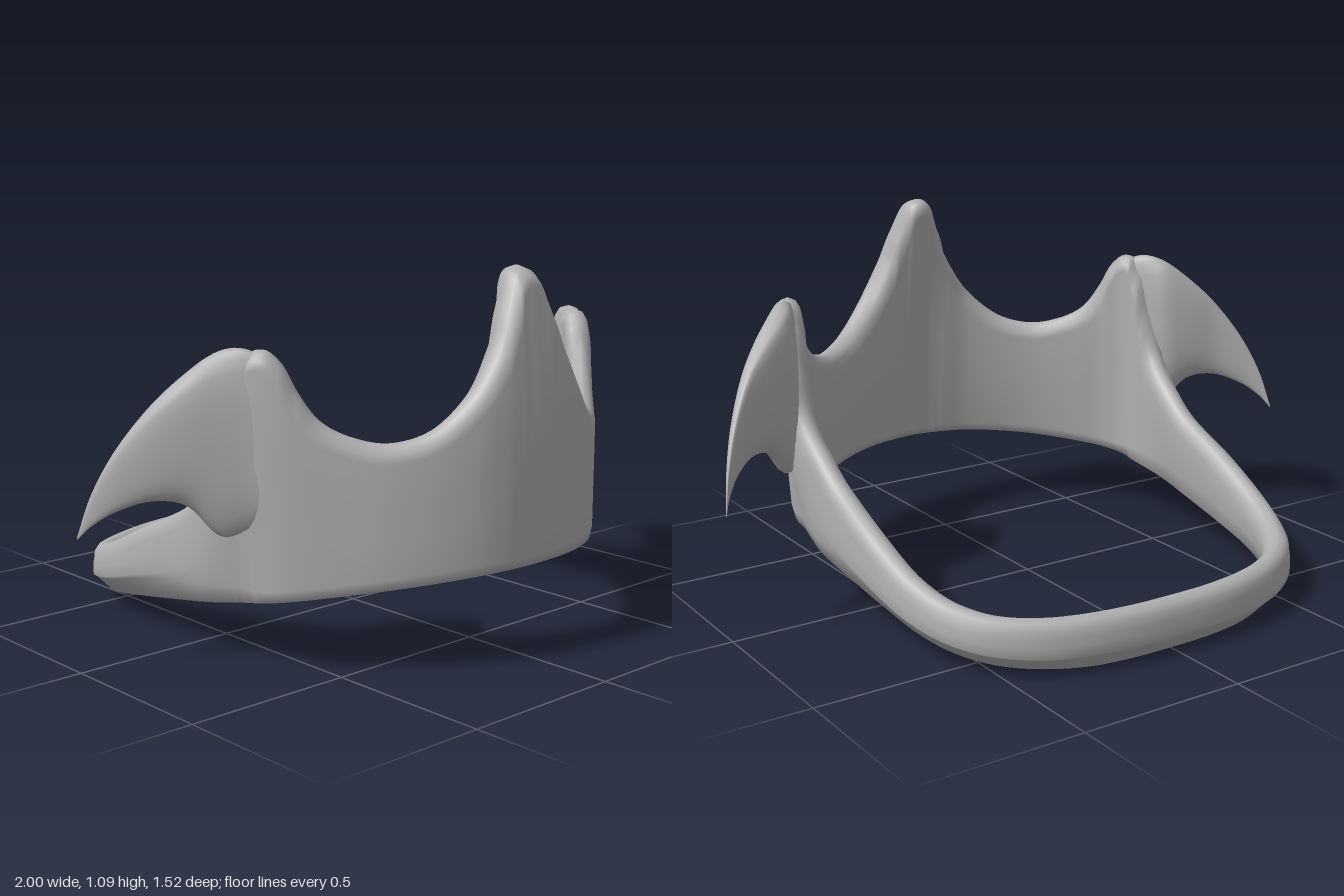
import * as THREE from 'three';

const silver = new THREE.MeshStandardMaterial({ color: 0xb0b0b0, side: THREE.DoubleSide });
silver.name = 'silver grey';

// Skin a list of closed cross-sections; wrap joins the last section to the first
function loft(name, rings, wrap) {
  const n = rings.length, m = rings[0].length, index = [];
  for (let i = 0; i < (wrap ? n : n - 1); i++) {
    for (let j = 0; j < m; j++) {
      const a = i * m + j, b = ((i + 1) % n) * m + j;
      const c = ((i + 1) % n) * m + (j + 1) % m, d = i * m + (j + 1) % m;
      index.push(a, b, c, a, c, d);
    }
  }
  const geo = new THREE.BufferGeometry().setFromPoints(rings.flat());
  geo.setIndex(index);
  geo.computeVertexNormals();
  const mesh = new THREE.Mesh(geo, silver);
  mesh.name = name;
  return mesh;
}

// Tilted plane on which the lower edge lies
const bottomY = (z) => Math.max(0, 0.133 + 0.19 * z);

// Half of the band, front to back: outer x, outer z, top height, thickness
const BAND = [
  [0, 0.76, 1.09, 0.11], [0.04, 0.758, 1.075, 0.11], [0.08, 0.754, 1.0, 0.11],
  [0.125, 0.747, 0.9, 0.11], [0.21, 0.722, 0.77, 0.1], [0.32, 0.668, 0.67, 0.09],
  [0.42, 0.6, 0.64, 0.08], [0.5, 0.53, 0.66, 0.075], [0.555, 0.479, 0.7, 0.075],
  [0.595, 0.441, 0.77, 0.075], [0.628, 0.406, 0.85, 0.08], [0.656, 0.37, 0.885, 0.08],
  [0.681, 0.327, 0.88, 0.085], [0.694, 0.28, 0.82, 0.09], [0.698, 0.23, 0.68, 0.09],
  [0.692, 0.17, 0.55, 0.085], [0.683, 0.08, 0.46, 0.08],
  [0.68, 0, 0.4, 0.08], [0.68, -0.2, 0.31, 0.085], [0.662, -0.37, 0.235, 0.085],
  [0.625, -0.49, 0.195, 0.085], [0.57, -0.58, 0.175, 0.085], [0.5, -0.643, 0.165, 0.08],
  [0.4, -0.7, 0.16, 0.08], [0.28, -0.74, 0.16, 0.08], [0.14, -0.761, 0.16, 0.08],
];

function makeBand() {
  const rows = [...BAND, [0, -0.765, 0.16, 0.08],
    ...BAND.slice(1).reverse().map(([x, z, t, w]) => [-x, z, t, w])];
  const edge = new THREE.CatmullRomCurve3(rows.map(([x, z, t]) => new THREE.Vector3(x, t, z)), true);
  const width = new THREE.CatmullRomCurve3(rows.map((r) => new THREE.Vector3(r[3], 0, 0)), true, 'catmullrom');
  const rings = [], count = rows.length * 6;
  for (let i = 0; i < count; i++) {
    const p = edge.getPoint(i / count), tan = edge.getTangent(i / count);
    const w = width.getPoint(i / count).x;
    const flat = Math.hypot(tan.x, tan.z);
    const inX = tan.z / flat, inZ = -tan.x / flat;
    const h = p.y - bottomY(p.z);
    const steep = Math.min(2.2, Math.hypot(1, tan.y / flat));
    const r = Math.min(0.05 * steep, h * 0.35) / h; // rounded rim
    const f = THREE.MathUtils.smoothstep(p.z, -0.3, 0.4); // 0 at the back, 1 at the front
    const mix = (back, front) => back + (front - back) * f;
    const b = mix(0.3, 0.03 / h);
    // the wall flares outward below the wings
    const flare = 0.055 * Math.exp(-(((p.z - 0.27) / 0.13) ** 2));
    // across the thickness (0 outside, 1 inside), up the height
    const section = [
      [mix(0.6, 0.08), 0], [mix(0.12, 0), b], [0, 0.35], [0, 0.55], [mix(0.04, 0), 1 - r],
      [0.07, 1 - r * 0.55], [0.22, 1 - r * 0.17], [0.5, 1], [0.78, 1 - r * 0.17],
      [0.93, 1 - r * 0.55], [1, 1 - r], [mix(1, 0.9), 0.5], [mix(0.95, 0.65), b], [mix(0.85, 0.5), 0],
    ];
    rings.push(section.map(([u, v]) => {
      const d = w * u + flare * Math.max(0, 1 - v * 1.7) * (1 - 0.7 * u);
      const x = p.x + inX * d, z = p.z + inZ * d;
      const y0 = bottomY(z), y = y0 + (p.y - y0) * v;
      // the central spike leans slightly back
      const lean = Math.abs(p.x) < 0.35 ? 0.4 * Math.max(0, y - 0.72) ** 2 : 0;
      return new THREE.Vector3(x, y, z - lean);
    }));
  }
  return loft('crownBand', rings, true);
}

// Wing, root to tip: outer x, outer z, inner x, inner z, top, bottom
const WING = [
  [0.633, 0.388, 0.595, 0.345, 0.85, 0.46], [0.677, 0.338, 0.637, 0.265, 0.888, 0.4],
  [0.73, 0.292, 0.68, 0.19, 0.878, 0.38],
  [0.797, 0.238, 0.755, 0.15, 0.82, 0.465], [0.866, 0.175, 0.845, 0.115, 0.735, 0.482],
  [0.932, 0.103, 0.92, 0.068, 0.62, 0.455], [0.975, 0.045, 0.97, 0.028, 0.5, 0.415],
  [1, 0.002, 0.998, 0, 0.38, 0.373],
];

function makeWing(side) {
  const curve = (f) => new THREE.CatmullRomCurve3(WING.map(f), false, 'catmullrom');
  const outer = curve((r) => new THREE.Vector3(r[0], r[4], r[1]));
  const inner = curve((r) => new THREE.Vector3(r[2], r[5], r[3]));
  const rings = [], steps = 40, sides = 24;
  const power = (v, e) => Math.sign(v) * Math.abs(v) ** e;
  for (let i = 0; i <= steps; i++) {
    const o = outer.getPoint(i / steps), n = inner.getPoint(i / steps), ring = [];
    for (let j = 0; j < sides; j++) {
      const a = (j / sides) * Math.PI * 2;
      // upper half is fuller near the root, to run on from the wall
      const e = Math.sin(a) > 0 ? 0.5 + 0.3 * i / steps : 0.8;
      const u = 0.5 - 0.5 * power(Math.cos(a), e), v = 0.5 + 0.5 * power(Math.sin(a), 0.8);
      ring.push(new THREE.Vector3(side * (o.x + (n.x - o.x) * u), n.y + (o.y - n.y) * v, o.z + (n.z - o.z) * u));
    }
    rings.push(ring);
  }
  if (side < 0) rings.reverse();
  return loft(side > 0 ? 'leftWing' : 'rightWing', rings, false);
}

export function createModel() {
  const group = new THREE.Group();
  group.name = 'tiara';
  group.add(makeBand(), makeWing(1), makeWing(-1));
  return group;
}
